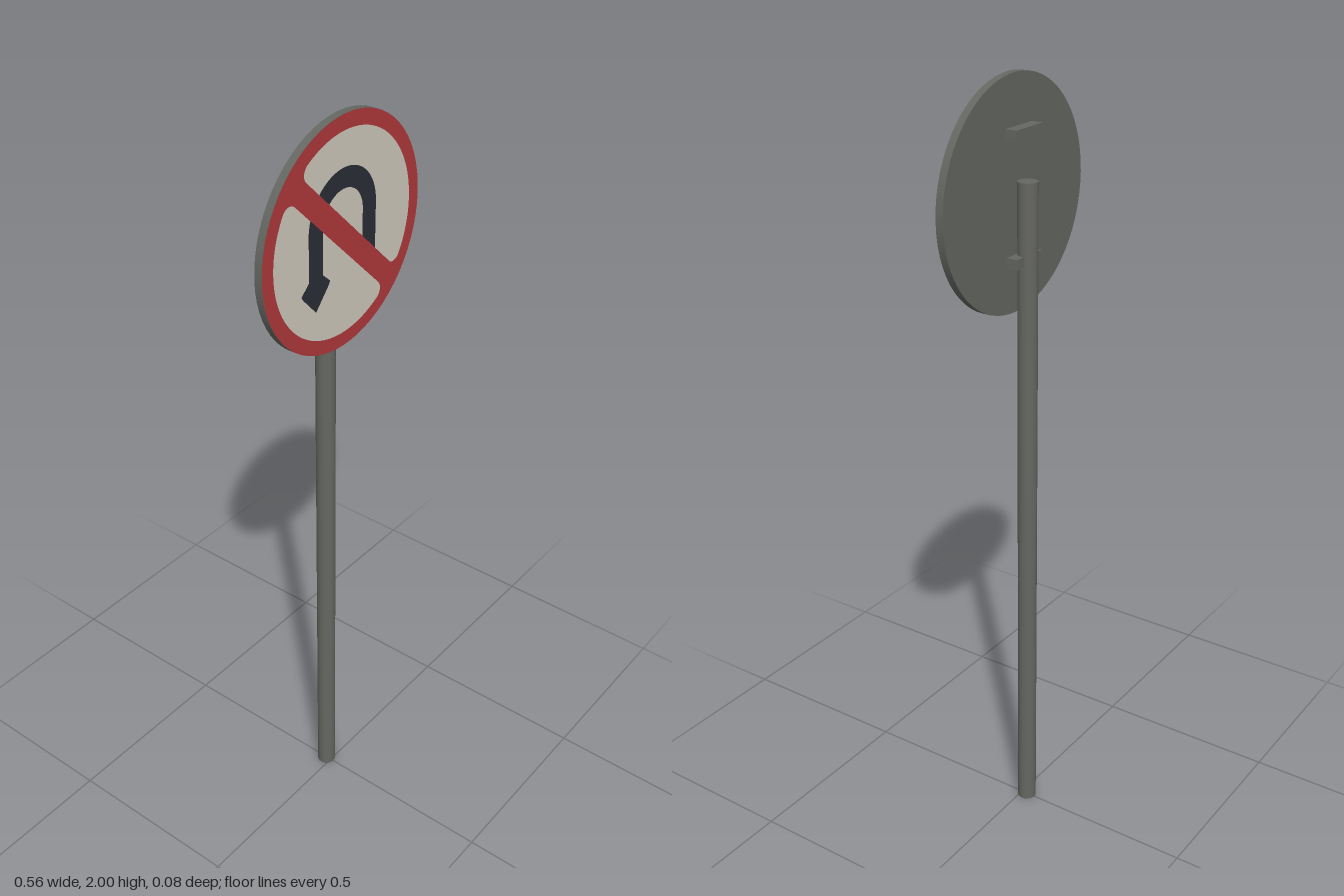
import * as THREE from 'three';

const mat = (name, color) => {
  const m = new THREE.MeshStandardMaterial({ color });
  m.name = name;
  return m;
};

export function createModel() {
  const steel = mat('grey steel', 0x656762);
  const red = mat('sign red', 0xb0383b);
  const cream = mat('sign white', 0xcfc9bc);
  const black = mat('arrow black', 0x2a2d35);

  const group = new THREE.Group();
  group.name = 'noUTurnSign';
  const add = (parent, name, geometry, material, x, y, z) => {
    const mesh = new THREE.Mesh(geometry, material);
    mesh.name = name;
    mesh.position.set(x, y, z);
    parent.add(mesh);
    return mesh;
  };

  // Pole and the two brackets behind the plate
  add(group, 'pole', new THREE.CylinderGeometry(0.025, 0.025, 1.757, 24), steel, 0, 0.8785, -0.016);
  for (const [name, y] of [['upperBracket', 1.87], ['lowerBracket', 1.57]]) {
    add(group, name, new THREE.BoxGeometry(0.106, 0.025, 0.03), steel, 0, y, -0.006);
  }

  // Round plate
  const R = 0.2825;
  const sign = new THREE.Group();
  sign.name = 'sign';
  sign.position.y = 2 - R;
  group.add(sign);
  const plate = new THREE.CylinderGeometry(R, R, 0.02, 64).rotateX(Math.PI / 2);
  add(sign, 'plate', plate, steel, 0, 0, 0.027);
  add(sign, 'redFace', new THREE.CircleGeometry(R, 64), red, 0, 0, 0.0377);

  // Two white fields with rounded corners, one on each side of the slash
  const inner = 0.246, half = 0.028, corner = 0.025;
  const v = half + corner;
  const u = Math.sqrt((inner - corner) ** 2 - v ** 2);
  const a = Math.atan2(v, u);
  const field = new THREE.Shape();
  field.absarc(0, 0, inner, a, Math.PI - a, false);
  field.absarc(-u, v, corner, Math.PI - a, Math.PI * 1.5, false);
  field.absarc(u, v, corner, -Math.PI / 2, a, false);
  const fieldGeometry = new THREE.ShapeGeometry(field, 32);
  add(sign, 'upperField', fieldGeometry, cream, 0, 0, 0.0385).rotation.z = -Math.PI / 4;
  add(sign, 'lowerField', fieldGeometry, cream, 0, 0, 0.0385).rotation.z = Math.PI * 0.75;

  // U-turn arrow: right leg, arch, left leg and head in one outline
  const cx = -0.006, cy = 0.042, outer = 0.121, innerArch = 0.072;
  const arrow = new THREE.Shape();
  arrow.moveTo(cx + innerArch, -0.055);
  arrow.lineTo(cx + outer, -0.08);
  arrow.absarc(cx, cy, outer, 0, Math.PI, false);
  arrow.lineTo(cx - outer, -0.066);
  arrow.lineTo(-0.154, -0.09);
  arrow.lineTo(-0.148, -0.1);
  arrow.lineTo(-0.103, -0.15);
  arrow.lineTo(-0.058, -0.1);
  arrow.lineTo(-0.052, -0.09);
  arrow.lineTo(cx - innerArch, -0.066);
  arrow.absarc(cx, cy, innerArch, Math.PI, 0, true);
  add(sign, 'arrow', new THREE.ShapeGeometry(arrow, 24), black, 0, 0, 0.0392);

  // Diagonal slash over the arrow
  add(sign, 'slash', new THREE.PlaneGeometry(inner * 2, half * 2), red, 0, 0, 0.04).rotation.z = -Math.PI / 4;

  return group;
}
